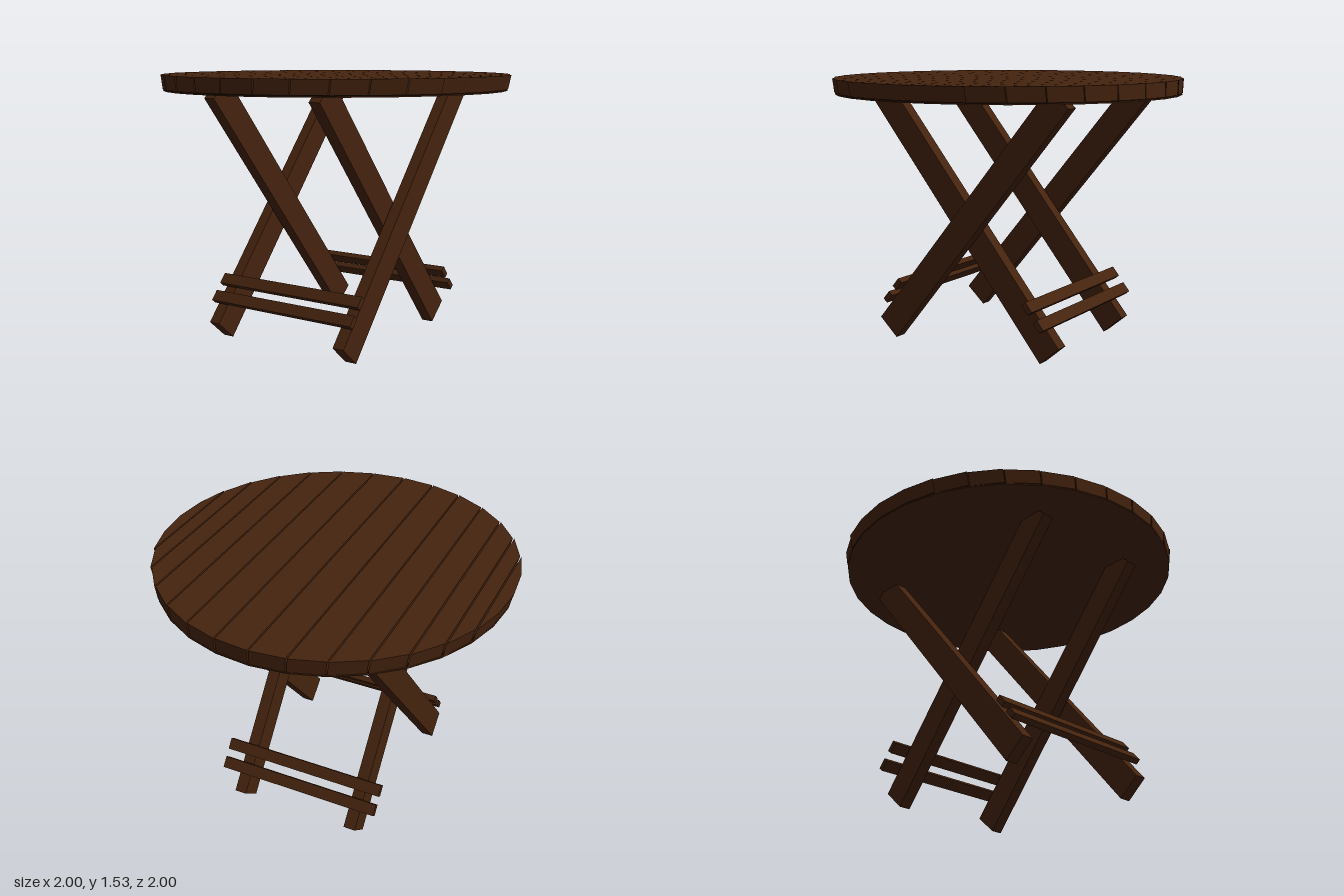
import * as THREE from 'three';

const wood = new THREE.MeshStandardMaterial({ color: 0x45230e });
wood.name = 'dark brown wood';
const shade = new THREE.MeshStandardMaterial({ color: 0x120803 });
shade.name = 'seam shadow';

const SIDES = 32, TOP = 1.53, BOTTOM = 1.44, TAPER = 0.98;

function addMesh(parent, name, geometry, material = wood) {
  const mesh = new THREE.Mesh(geometry, material);
  mesh.name = name;
  parent.add(mesh);
  return mesh;
}

// One board of the round top: a box whose corners move onto the 32-sided rim
function plankGeometry(k) {
  const y0 = BOTTOM + 0.01;
  const geo = new THREE.BoxGeometry(2, 2, 2);
  const p = geo.attributes.position;
  for (let i = 0; i < p.count; i++) {
    const far = p.getZ(i) > 0;
    const edge = far ? k + 1 : k;
    const angle = (edge * 2 * Math.PI) / SIDES;
    const gap = edge > 1 && edge < SIDES / 2 - 1 ? 0.004 : 0;
    const up = p.getY(i) > 0;
    const z = -Math.cos(angle) + (far ? -gap : gap);
    p.setXYZ(i, Math.sign(p.getX(i)) * Math.sin(angle), up ? TOP : y0, z * (up ? 1 : TAPER));
  }
  geo.computeVertexNormals();
  return geo;
}

// Flat disc with the same outline as the underside of the boards
function discGeometry(radius, y0, y1) {
  const geo = new THREE.CylinderGeometry(radius, radius, y1 - y0, SIDES).toNonIndexed();
  geo.scale(1, 1, TAPER);
  geo.translate(0, (y0 + y1) / 2, 0);
  geo.computeVertexNormals();
  return geo;
}

// Leaning leg, cut off where it meets the top; lean is the side (+1 or -1) it rises to
function legGeometry(lean) {
  const outline = [[-0.6, 0.105], [-0.48, 0], [0.695, 1.405], [0.655, 1.442], [0.52, 1.442]];
  const shape = new THREE.Shape(outline.map(([x, y]) => new THREE.Vector2(x * lean, y)));
  const geo = new THREE.ExtrudeGeometry(shape, { depth: 0.07, bevelEnabled: false });
  geo.translate(0, 0, -0.035);
  return geo;
}

export function createModel() {
  const model = new THREE.Group();
  model.name = 'foldingTable';

  // Round slatted top
  const top = new THREE.Group();
  top.name = 'tableTop';
  model.add(top);
  for (let k = 0; k < SIDES / 2; k++) addMesh(top, 'plank', plankGeometry(k));
  addMesh(top, 'underside', discGeometry(1, BOTTOM, BOTTOM + 0.007));
  addMesh(top, 'seams', discGeometry(0.99, BOTTOM + 0.007, BOTTOM + 0.01), shade);

  // Crossed legs: the outer pair rises to +x, the inner pair to -x
  for (const side of [1, -1]) {
    addMesh(model, 'outerLeg', legGeometry(1)).position.z = side * 0.437;
    addMesh(model, 'innerLeg', legGeometry(-1)).position.z = side * 0.357;
  }

  // Two cross slats beside the feet at each end
  const tilt = Math.atan2(1.405, 1.175);
  for (const side of [1, -1]) {
    for (const [x, y] of [[0.455, 0.33], [0.528, 0.242]]) {
      const slat = addMesh(model, 'crossSlat', new THREE.BoxGeometry(0.066, 0.034, 0.974));
      slat.position.set(side * x, y, 0);
      slat.rotation.z = -side * tilt;
    }
  }
  return model;
}
